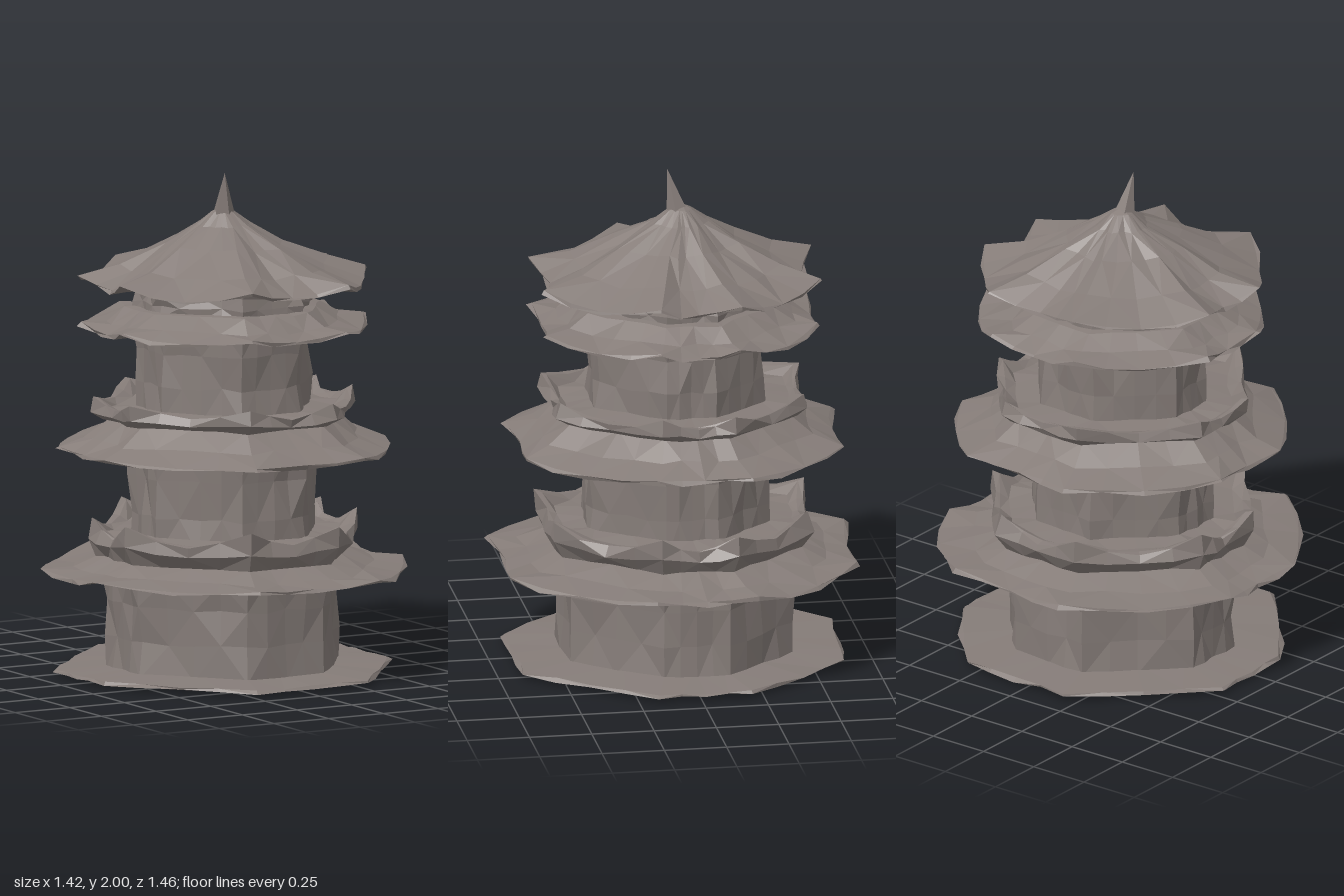
import * as THREE from 'three';

const stone = new THREE.MeshStandardMaterial({ color: 0x857c78 });
stone.name = 'weathered stone';
stone.flatShading = true;

// Directions of the eight slightly uneven corners, as [x, z], from +x towards +z
const CORNERS = [
  [0.95, 0.25], [0.40, 0.96], [-0.34, 0.96], [-0.96, 0.24],
  [-0.96, -0.32], [-0.29, -0.97], [0.45, -0.92], [0.96, -0.30],
];
const STEPS = 4; // points along each side
const COUNT = CORNERS.length * STEPS;

// Small seeded noise in -1..1
function makeNoise(seed) {
  let s = seed;
  return () => {
    s = (s * 16807) % 2147483647;
    return (s / 2147483647) * 2 - 1;
  };
}

// Lofts eight-sided rings, listed from the underside outwards and up.
// ring: r corner radius, y height, lift rise at corners, dip inward curve of
// the four straight sides, bulge outward curve of the four diagonal sides,
// rough unevenness, z offset of the ring
function loft(name, rings, seed) {
  const noise = makeNoise(seed);
  const positions = [];
  const index = [];
  for (const { r, y, lift = 0, dip = 0, bulge = 0, rough = 0, z = 0 } of rings) {
    const cornerNoise = CORNERS.map(() => noise());
    for (let i = 0; i < COUNT; i++) {
      const k = Math.floor(i / STEPS);
      const t = (i % STEPS) / STEPS;
      const a = CORNERS[k];
      const b = CORNERS[(k + 1) % CORNERS.length];
      const mid = Math.sin(Math.PI * t);
      const n = t === 0 ? cornerNoise[k] : noise();
      const curve = k % 2 ? -dip : bulge;
      const scale = r * (1 + curve * mid) + n * rough;
      positions.push(
        (a[0] + (b[0] - a[0]) * t) * scale,
        Math.max(0, y + lift * (1 - mid) + noise() * rough * 0.5),
        (a[1] + (b[1] - a[1]) * t) * scale + z,
      );
    }
  }
  for (let j = 0; j < rings.length - 1; j++) {
    for (let i = 0; i < COUNT; i++) {
      const n = (i + 1) % COUNT;
      const a = j * COUNT + i, b = j * COUNT + n;
      const c = a + COUNT, d = b + COUNT;
      if ((i + j) % 2) index.push(a, c, b, b, c, d);
      else index.push(a, c, d, a, d, b);
    }
  }
  const indexed = new THREE.BufferGeometry();
  indexed.setAttribute('position', new THREE.Float32BufferAttribute(positions, 3));
  indexed.setIndex(index);
  const geometry = indexed.toNonIndexed();
  geometry.computeVertexNormals();
  const mesh = new THREE.Mesh(geometry, stone);
  mesh.name = name;
  return mesh;
}

// Eight-sided storey wall
function wall(name, r, bottom, top, seed) {
  const h = top - bottom;
  return loft(name, [
    { r, y: bottom, rough: 0.008 },
    { r: r * 0.985, y: bottom + h * 0.35, rough: 0.014 },
    { r: r * 0.985, y: bottom + h * 0.7, rough: 0.014 },
    { r: r * 1.02, y: top, rough: 0.012 },
  ], seed);
}

// Flared eave with a flat underside, upturned corners and rounded diagonals
function eave(name, wallR, outer, inner, y, top, lift, bulge, seed) {
  return loft(name, [
    { r: wallR * 0.9, y: y + 0.01 },
    { r: outer, y, lift, dip: 0.03, bulge, rough: 0.016 },
    { r: outer * 0.99, y: y + 0.01, lift, dip: 0.03, bulge, rough: 0.008 },
    { r: outer * 0.45 + inner * 0.55, y: y + (top - y) * 0.45, bulge: bulge / 2, rough: 0.016 },
    { r: inner, y: top, rough: 0.008 },
    { r: wallR * 0.9, y: top + 0.01 },
  ], seed);
}

// Balcony with a flared lip and a parapet that peaks at the corners
function balcony(name, wallR, r, y, lip, rim, floor, lift, seed) {
  return loft(name, [
    { r: wallR * 0.9, y },
    { r: r * 0.92, y, rough: 0.008 },
    { r, y: lip, lift: lift * 0.3, dip: 0.02, bulge: 0.02, rough: 0.012 },
    { r: r * 0.985, y: rim, lift, dip: 0.03, bulge: 0.01, rough: 0.014 },
    { r: r * 0.95, y: rim, lift: lift * 0.85, dip: 0.03, rough: 0.006 },
    { r: r * 0.87, y: floor, lift: lift * 0.2, rough: 0.008 },
    { r: wallR * 0.9, y: floor + 0.015 },
  ], seed);
}

export function createModel() {
  const pagoda = new THREE.Group();
  pagoda.name = 'pagoda';

  pagoda.add(
    // Ground slab
    loft('baseSlab', [
      { r: 0, y: 0 },
      { r: 0.58, y: 0, bulge: 0.02 },
      { r: 0.685, y: 0.017, bulge: 0.02, rough: 0.014 },
      { r: 0.675, y: 0.026, bulge: 0.02, rough: 0.008 },
      { r: 0.42, y: 0.04 },
    ], 11),

    // First storey
    wall('firstWall', 0.48, 0.02, 0.42, 23),
    eave('firstEave', 0.48, 0.745, 0.51, 0.405, 0.48, 0.02, 0.06, 37),
    balcony('firstBalcony', 0.4, 0.555, 0.475, 0.53, 0.565, 0.56, 0.07, 41),

    // Second storey
    wall('secondWall', 0.385, 0.5, 0.93, 53),
    eave('secondEave', 0.385, 0.68, 0.46, 0.895, 1.03, 0.01, 0.07, 67),
    balcony('secondBalcony', 0.37, 0.535, 1.025, 1.045, 1.075, 1.06, 0.045, 71),

    // Third storey
    wall('thirdWall', 0.36, 1.04, 1.42, 83),
    eave('thirdEave', 0.36, 0.58, 0.4, 1.375, 1.47, 0.03, 0.07, 97),
    wall('atticWall', 0.37, 1.45, 1.58, 101),

    // Pointed top roof
    loft('topRoof', [
      { r: 0.3, y: 1.56 },
      { r: 0.59, y: 1.55, lift: 0.045, dip: 0.09, bulge: 0.03, rough: 0.016 },
      { r: 0.585, y: 1.558, lift: 0.045, dip: 0.09, bulge: 0.03, rough: 0.006 },
      { r: 0.42, y: 1.622, lift: 0.02, dip: 0.05, bulge: 0.03, rough: 0.018 },
      { r: 0.25, y: 1.71, lift: 0.01, dip: 0.03, rough: 0.016 },
      { r: 0.11, y: 1.79, rough: 0.008, z: -0.02 },
      { r: 0.045, y: 1.84, z: -0.02 },
      { r: 0, y: 1.86, z: -0.025 },
    ], 113),
  );

  // Leaning spire
  const spireGeometry = new THREE.ConeGeometry(0.05, 0.19, 5);
  const p = spireGeometry.attributes.position;
  for (let i = 0; i < p.count; i++) {
    const t = (p.getY(i) + 0.095) / 0.19;
    p.setX(i, p.getX(i) - 0.02 * t);
    p.setZ(i, p.getZ(i) - 0.015 + 0.045 * t);
  }
  spireGeometry.computeVertexNormals();
  const spire = new THREE.Mesh(spireGeometry, stone);
  spire.name = 'spire';
  spire.position.y = 1.905;
  pagoda.add(spire);

  return pagoda;
}
